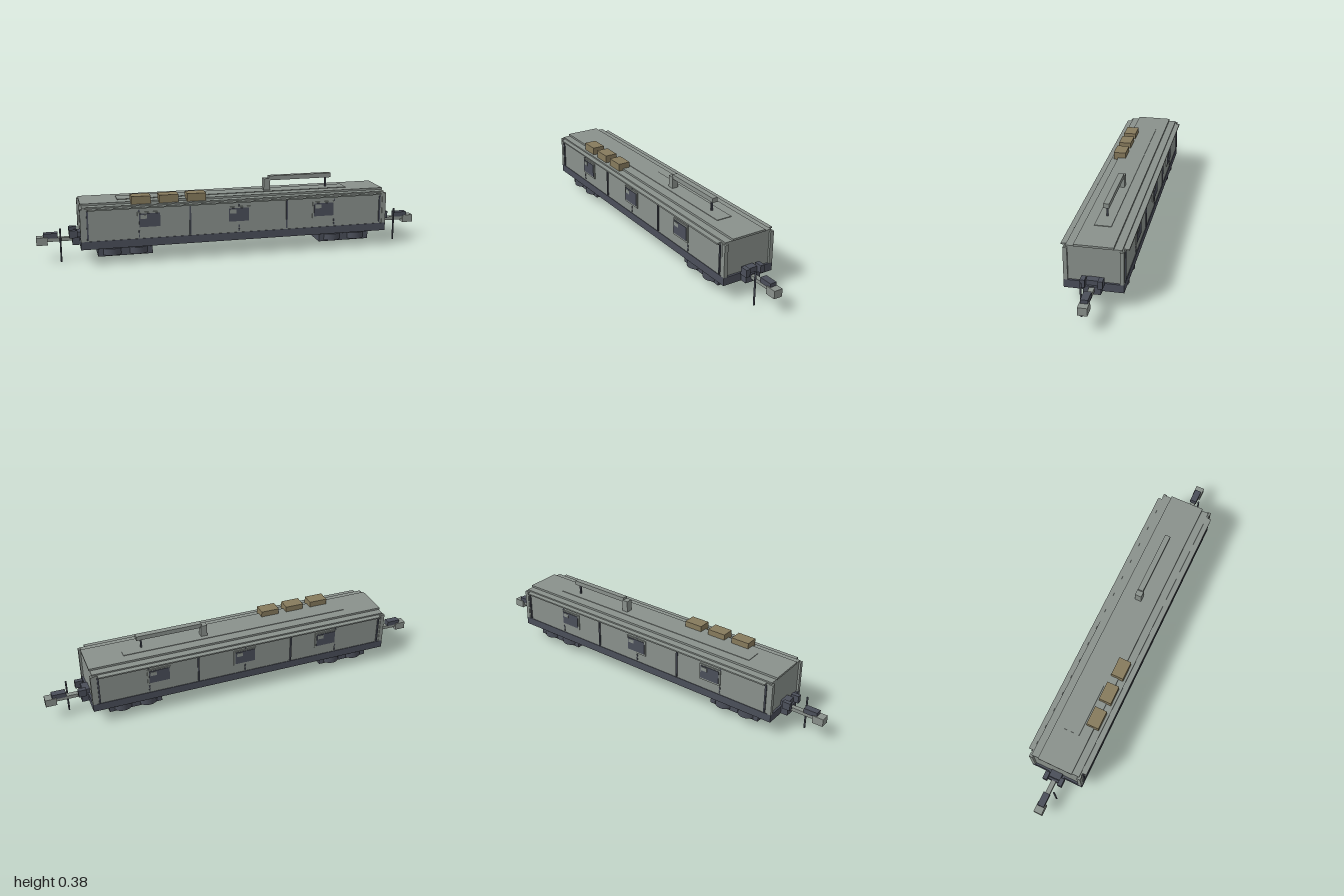
import * as THREE from 'three';

const mat = (name, color) => {
  const m = new THREE.MeshStandardMaterial({ color });
  m.name = name;
  return m;
};

export function createModel() {
  const grey = mat('body grey', 0x8a918c);
  const dark = mat('slate dark', 0x4b4f5a);
  const tan = mat('crate tan', 0x877b5d);
  const root = new THREE.Group();
  root.name = 'railwayCar';

  // Box given by its min/max on each axis
  const box = (parent, name, m, x0, x1, y0, y1, z0, z1) => {
    const mesh = new THREE.Mesh(new THREE.BoxGeometry(x1 - x0, y1 - y0, z1 - z0), m);
    mesh.position.set((x0 + x1) / 2, (y0 + y1) / 2, (z0 + z1) / 2);
    mesh.name = name;
    parent.add(mesh);
    return mesh;
  };
  const cyl = (parent, name, m, r, y0, y1, x, z, sides = 24) => {
    const mesh = new THREE.Mesh(new THREE.CylinderGeometry(r, r, y1 - y0, sides), m);
    mesh.position.set(x, (y0 + y1) / 2, z);
    mesh.name = name;
    parent.add(mesh);
  };

  // Body, underframe and stepped roof
  box(root, 'underframe', dark, -0.79, 0.79, 0.083, 0.123, -0.137, 0.137);
  box(root, 'body', grey, -0.78, 0.78, 0.123, 0.285, -0.134, 0.134);
  box(root, 'roofLower', grey, -0.78, 0.78, 0.285, 0.292, -0.127, 0.127);
  box(root, 'roofUpper', grey, -0.785, 0.785, 0.292, 0.302, -0.09, 0.09);
  box(root, 'roofWalkway', grey, -0.6, 0.6, 0.302, 0.305, -0.04, 0.04);

  // Rooftop crates
  for (const x of [-0.49, -0.352, -0.213])
    box(root, 'roofCrate', tan, x - 0.048, x + 0.048, 0.29, 0.331, 0.05, 0.114);

  // Rooftop mast with its long bar
  const mast = new THREE.Group();
  mast.name = 'roofMast';
  root.add(mast);
  box(mast, 'mastPost', grey, 0.16, 0.193, 0.302, 0.365, -0.017, 0.017);
  box(mast, 'mastBar', grey, 0.188, 0.525, 0.355, 0.378, -0.014, 0.014);
  box(mast, 'mastStrut', dark, 0.496, 0.504, 0.302, 0.356, -0.004, 0.004);

  // One side wall, turned half round for the other
  for (const turn of [0, Math.PI]) {
    const side = new THREE.Group();
    side.name = turn ? 'backSide' : 'frontSide';
    side.rotation.y = turn;
    root.add(side);
    box(side, 'gutter', grey, -0.755, 0.755, 0.279, 0.286, 0.13, 0.154);
    box(side, 'topRail', grey, -0.755, 0.755, 0.27, 0.279, 0.133, 0.139);
    for (const x of [-0.755, -0.25, 0.25, 0.755])
      box(side, 'panelSeam', dark, x - 0.004, x + 0.004, 0.128, 0.275, 0.132, 0.14);
    // Short dashes above and below each window
    for (const x of [-0.505, 0, 0.505])
      for (const y of [0.13, 0.15, 0.257])
        box(side, 'seamDash', dark, x - 0.003, x + 0.003, y, y + 0.013, 0.132, 0.137);
    for (const x of [-0.453, -0.003, 0.447]) {
      box(side, 'windowFrame', grey, x - 0.06, x + 0.06, 0.172, 0.257, 0.132, 0.139);
      box(side, 'window', dark, x - 0.052, x + 0.052, 0.182, 0.25, 0.137, 0.142);
      box(side, 'windowVent', grey, x - 0.046, x - 0.014, 0.224, 0.244, 0.14, 0.144);
    }
    for (const s of [-1, 1])
      box(side, 'cornerPost', grey, s * 0.78 - 0.01, s * 0.78 + 0.01, 0.123, 0.284, 0.118, 0.137);
  }

  // Bogie and coupler at each end
  for (const s of [-1, 1]) {
    const bogie = new THREE.Group();
    bogie.name = 'bogie';
    bogie.position.x = s * 0.572;
    root.add(bogie);
    box(bogie, 'bogieFrame', dark, -0.135, 0.135, 0.035, 0.073, -0.105, 0.105);
    box(bogie, 'bogieBolster', grey, -0.06, 0.06, 0.073, 0.083, -0.09, 0.09);
    for (const x of [-0.065, 0.065])
      for (const z of [-0.08, 0.08])
        cyl(bogie, 'bogieDrum', dark, 0.05, 0.043, 0.077, x, z);

    const end = new THREE.Group();
    end.name = 'couplerEnd';
    end.rotation.y = s > 0 ? 0 : Math.PI;
    root.add(end);
    box(end, 'bufferBeam', dark, 0.785, 0.825, 0.084, 0.123, -0.04, 0.04);
    box(end, 'beamCap', dark, 0.78, 0.815, 0.123, 0.147, -0.03, 0.03);
    for (const z of [-0.04, 0.04])
      box(end, 'bufferBlock', dark, 0.8, 0.84, 0.122, 0.16, z - 0.011, z + 0.011);
    box(end, 'couplerShaft', grey, 0.82, 0.95, 0.1, 0.118, -0.012, 0.012);
    box(end, 'couplerHead', grey, 0.945, 1, 0.086, 0.125, -0.022, 0.022);
    box(end, 'couplerLatch', dark, 0.895, 0.965, 0.118, 0.143, -0.017, 0.017);
    // Hanging rod, on the front side at both ends
    cyl(root, 'hangingRod', dark, 0.0045, 0, 0.172, s * 0.883, 0.035, 10);
  }
  return root;
}
